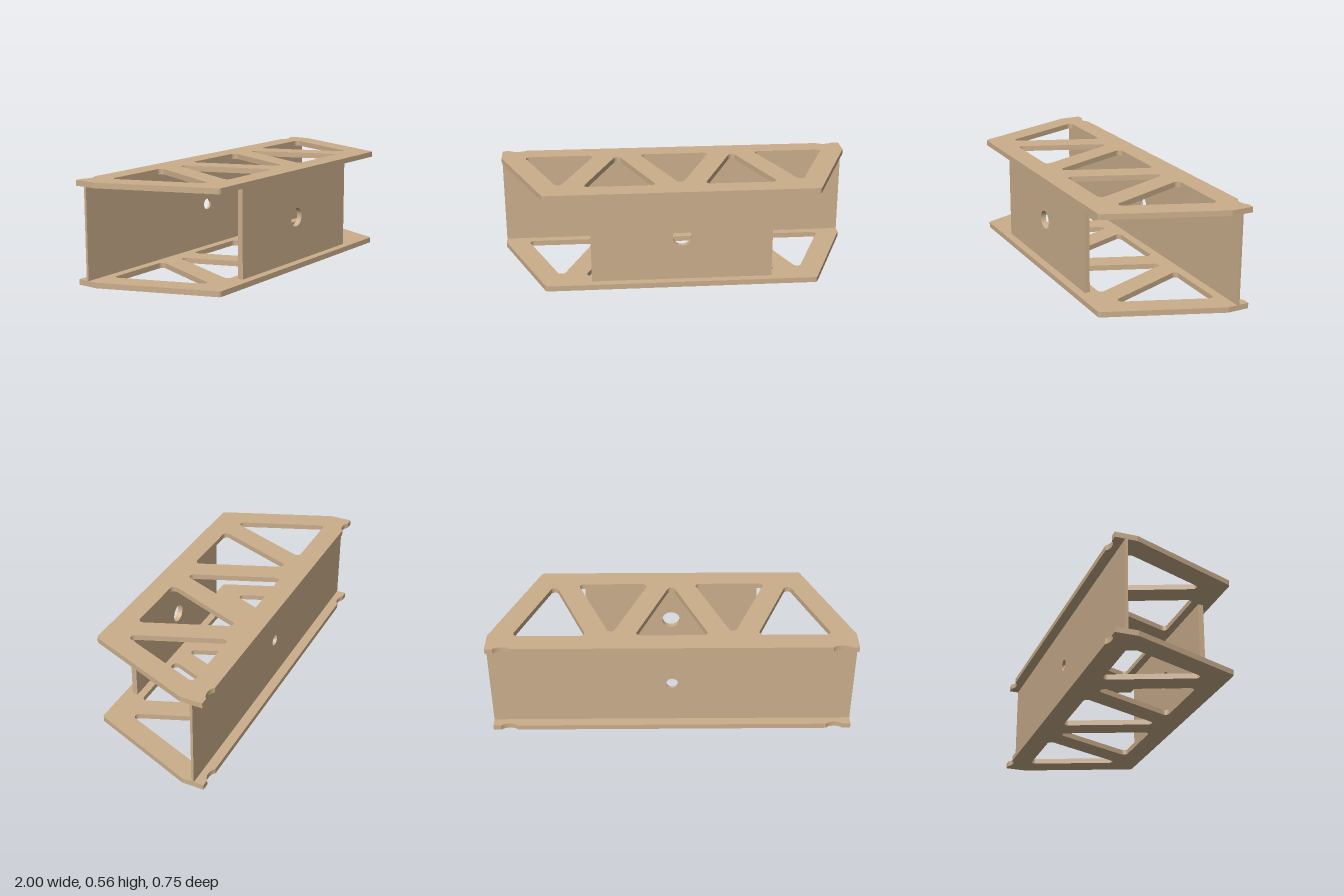
import * as THREE from 'three';

const wood = new THREE.MeshStandardMaterial({ color: 0xcbae8c });
wood.name = 'tan wood';

// Adds a polygon corner b (between a and c) rounded by radius r to a path
function roundCorner(path, a, b, c, r) {
  const A = new THREE.Vector2(...a), B = new THREE.Vector2(...b), C = new THREE.Vector2(...c);
  const u = A.sub(B).normalize(), v = C.sub(B).normalize();
  const half = Math.acos(u.dot(v)) / 2;
  const p = B.clone().addScaledVector(u, r / Math.tan(half));
  const q = B.clone().addScaledVector(v, r / Math.tan(half));
  const o = B.clone().addScaledVector(u.clone().add(v).normalize(), r / Math.sin(half));
  const start = Math.atan2(p.y - o.y, p.x - o.x), end = Math.atan2(q.y - o.y, q.x - o.x);
  path.absarc(o.x, o.y, r, start, end, u.cross(v) > 0);
}

// Triangular cutout; dir = 1 points to the front, -1 to the back
function triangle(cx, dir) {
  const pts = [[cx - 0.203, -0.254 * dir], [cx + 0.203, -0.254 * dir], [cx, 0.254 * dir]];
  const path = new THREE.Path();
  pts.forEach((p, i) => roundCorner(path, pts[(i + 2) % 3], p, pts[(i + 1) % 3], 0.023));
  path.closePath();
  return path;
}

// Trapezoid truss plate, drawn in x and z
function plateGeometry() {
  const back = -0.373, front = 0.373, dip = -0.35;
  const s = new THREE.Shape();
  s.moveTo(-1, back);
  // shallow scooped notches near the back corners
  for (const [x0, x1] of [[-0.957, -0.862], [0.862, 0.957]]) {
    s.lineTo(x0, back);
    s.bezierCurveTo(x0 + 0.02, dip + 0.001, x1 - 0.02, dip + 0.001, x1, back);
  }
  s.lineTo(1, back);
  s.lineTo(1, -0.25);
  roundCorner(s, [1, -0.25], [0.75, front], [-0.75, front], 0.02);
  roundCorner(s, [0.75, front], [-0.75, front], [-1, -0.25], 0.02);
  s.lineTo(-1, -0.25);
  s.closePath();
  for (const cx of [-0.667, 0, 0.667]) s.holes.push(triangle(cx, 1));
  for (const cx of [-0.333, 0.333]) s.holes.push(triangle(cx, -1));
  return new THREE.ExtrudeGeometry(s, { depth: 0.03, bevelEnabled: false, curveSegments: 10 })
    .rotateX(Math.PI / 2);
}

// Upright panel with a round hole in the middle
function wallGeometry(halfWidth, depth, holeRadius) {
  const s = new THREE.Shape();
  s.moveTo(-halfWidth, 0.03);
  s.lineTo(halfWidth, 0.03);
  s.lineTo(halfWidth, 0.53);
  s.lineTo(-halfWidth, 0.53);
  s.closePath();
  s.holes.push(new THREE.Path().absarc(0, 0.28, holeRadius, 0, Math.PI * 2, true));
  return new THREE.ExtrudeGeometry(s, { depth, bevelEnabled: false, curveSegments: 32 });
}

export function createModel() {
  const group = new THREE.Group();
  group.name = 'trussBracket';
  const add = (name, geometry, y, z) => {
    const mesh = new THREE.Mesh(geometry, wood);
    mesh.name = name;
    mesh.position.set(0, y, z);
    group.add(mesh);
  };
  const plate = plateGeometry();
  add('bottomPlate', plate, 0.03, 0);
  add('topPlate', plate, 0.56, 0);
  add('frontWall', wallGeometry(0.5, 0.03, 0.052), 0, 0.298);
  add('backWall', wallGeometry(1, 0.014, 0.032), 0, -0.318);
  return group;
}
